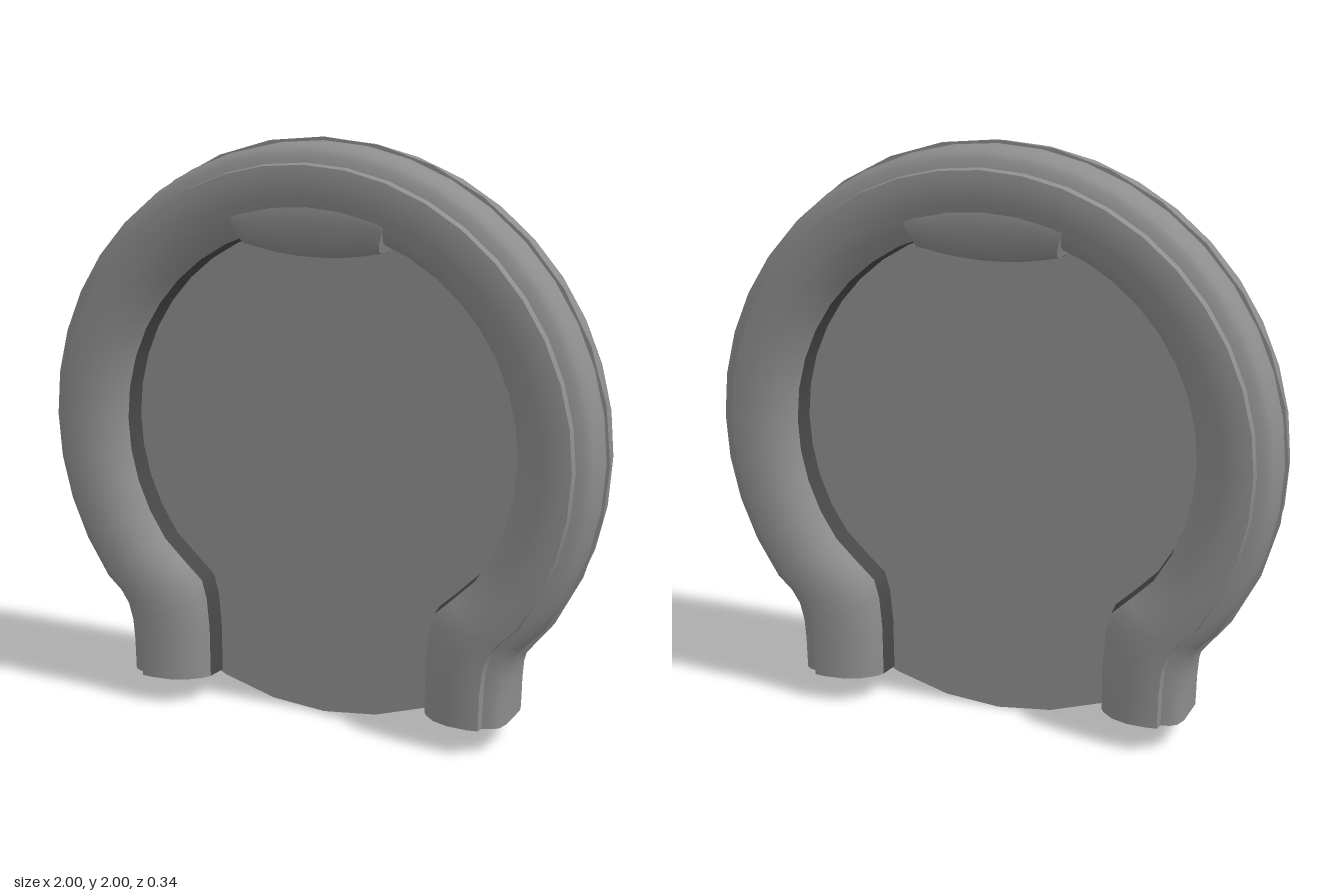
import * as THREE from 'three';
import { toCreasedNormals } from 'three/addons/utils/BufferGeometryUtils.js';

const CY = 1; // height of the ring centre

// Sweep an open section [t, z] through stations; t runs from the inner to the outer point.
function loft(stations, section, capped) {
  const pos = [], index = [], n = section.length, last = (stations.length - 1) * n;
  for (const { inner, outer } of stations)
    for (const [t, z] of section)
      pos.push(inner[0] + (outer[0] - inner[0]) * t, inner[1] + (outer[1] - inner[1]) * t, z);
  for (let i = 0; i < stations.length - 1; i++)
    for (let j = 0; j < n - 1; j++) {
      const a = i * n + j, b = a + 1;
      index.push(a, b, b + n, a, b + n, a + n);
    }
  if (capped)
    for (let j = 1; j < n - 1; j++) {
      index.push(0, j + 1, j);
      index.push(last, last + j, last + j + 1);
    }
  const g = new THREE.BufferGeometry();
  g.setAttribute('position', new THREE.Float32BufferAttribute(pos, 3));
  g.setIndex(index);
  return toCreasedNormals(g, 0.7);
}

// Complete a front half section with its mirrored back half.
const mirrored = half => [...half, ...half.slice().reverse().map(([t, z]) => [t, -z])];

function makeMaterial(name, color) {
  const material = new THREE.MeshStandardMaterial({ color, side: THREE.DoubleSide });
  material.name = name;
  return material;
}

export function createModel() {
  const group = new THREE.Group();
  const grey = makeMaterial('grey stone', 0x8e8e8e);
  const dark = makeMaterial('dark lining', 0x484848);
  const add = (geometry, material, name) => {
    const mesh = new THREE.Mesh(geometry, material);
    mesh.name = name;
    group.add(mesh);
  };

  // Frame: bevelled inner side, a step near the rim, and a narrower outer band
  const frameSection = mirrored([
    [0, 0.075], [0.06, 0.105], [0.2, 0.142], [0.4, 0.165], [0.64, 0.17], [0.77, 0.165],
    [0.785, 0.137], [0.89, 0.128], [0.96, 0.112], [1, 0.07],
  ]);
  // Dark strip closing the inner side of the frame
  const liningSection = [[0, -0.075], [-0.03, 0], [0, 0.075]];

  // Right leg from the foot up to where the arc begins
  const leg = [
    { inner: [0.405, 0.095], outer: [0.695, 0.095] },
    { inner: [0.407, 0.27], outer: [0.698, 0.2] },
    { inner: [0.417, 0.38], outer: [0.704, 0.27] },
    { inner: [0.435, 0.445], outer: [0.72, 0.33] },
    { inner: [0.5, 0.505], outer: [0.748, 0.375] },
  ];
  const arc = [];
  const start = -36 * Math.PI / 180, steps = 28;
  for (let i = 0; i <= steps; i++) {
    const a = start + (Math.PI - 2 * start) * i / steps;
    const at = r => [r * Math.cos(a), CY + r * Math.sin(a)];
    arc.push({ inner: at(0.714), outer: at(0.986) });
  }
  const flip = ([x, y]) => [-x, y];
  const otherLeg = leg.slice().reverse().map(s => ({ inner: flip(s.inner), outer: flip(s.outer) }));
  const path = [...leg, ...arc, ...otherLeg];
  add(loft(path, frameSection, false), grey, 'ringFrame');
  add(loft(path, liningSection, false), dark, 'ringLining');

  // Keystone bulging below the top of the ring, with the same dark underside
  const keySection = mirrored([
    [0, 0.075], [0.06, 0.11], [0.25, 0.14], [0.5, 0.15], [0.75, 0.149], [1, 0.12],
  ]);
  const keyStations = [];
  for (let i = 0; i <= 8; i++) {
    const u = 1 - i / 4;
    keyStations.push({
      inner: [0.24 * u, 1.612 + 0.028 * u * u],
      outer: [0.3 * u, 1.87 - 0.06 * u * u],
    });
  }
  add(loft(keyStations, keySection, true), grey, 'keystone');
  add(loft(keyStations, liningSection, false), dark, 'keystoneUnderside');

  // Thin sheet filling the ring, its edge just proud of the rim
  const sheet = new THREE.CircleGeometry(0.998, 32);
  sheet.translate(0, CY, 0);
  add(sheet, grey, 'portalSheet');

  return group;
}
